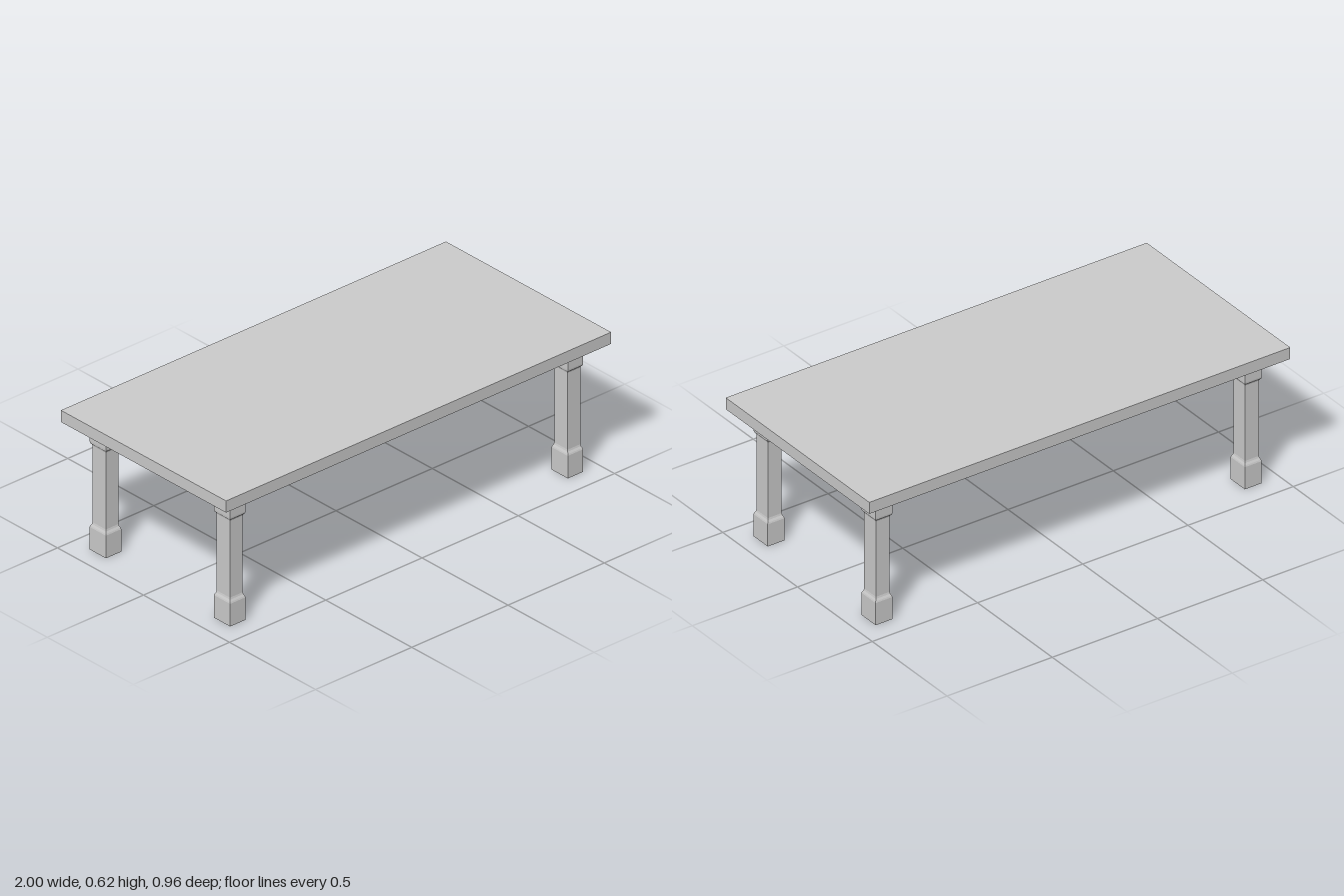
import * as THREE from 'three';

const TOP_Y = 0.568, TOP_H = 0.052;

// Square leg section: [half depth, height] from floor to tabletop
const LEG_PROFILE = [
  [0, 0], [0.0475, 0], [0.0475, 0.1], [0.0455, 0.106], [0.041, 0.114], [0.039, 0.122],
  [0.039, 0.463], [0.041, 0.468], [0.0465, 0.474], [0.0475, 0.482], [0.0475, TOP_Y], [0, TOP_Y],
];

function legGeometry() {
  // Four-sided lathe turned 45 degrees, so its faces line up with the axes
  const points = LEG_PROFILE.map(([half, y]) => new THREE.Vector2(half * Math.SQRT2, y));
  const geometry = new THREE.LatheGeometry(points, 4).rotateY(Math.PI / 4).scale(0.84, 1, 1);
  const flat = geometry.toNonIndexed();
  flat.computeVertexNormals();
  return flat;
}

export function createModel() {
  const table = new THREE.Group();
  table.name = 'table';
  const material = new THREE.MeshStandardMaterial({ color: 0xcccccc, flatShading: true });

  // Tabletop slab
  const top = new THREE.Mesh(new THREE.BoxGeometry(2, TOP_H, 0.96), material);
  top.name = 'tabletop';
  top.position.y = TOP_Y + TOP_H / 2;
  table.add(top);

  // Four legs with thicker foot and head blocks
  const geometry = legGeometry();
  for (const [side, x] of [['Left', 0.879], ['Right', -0.875]]) {
    for (const [end, z] of [['front', 0.361], ['back', -0.361]]) {
      const leg = new THREE.Mesh(geometry, material);
      leg.name = `${end}${side}Leg`;
      leg.position.set(x, 0, z);
      table.add(leg);
    }
  }
  return table;
}
